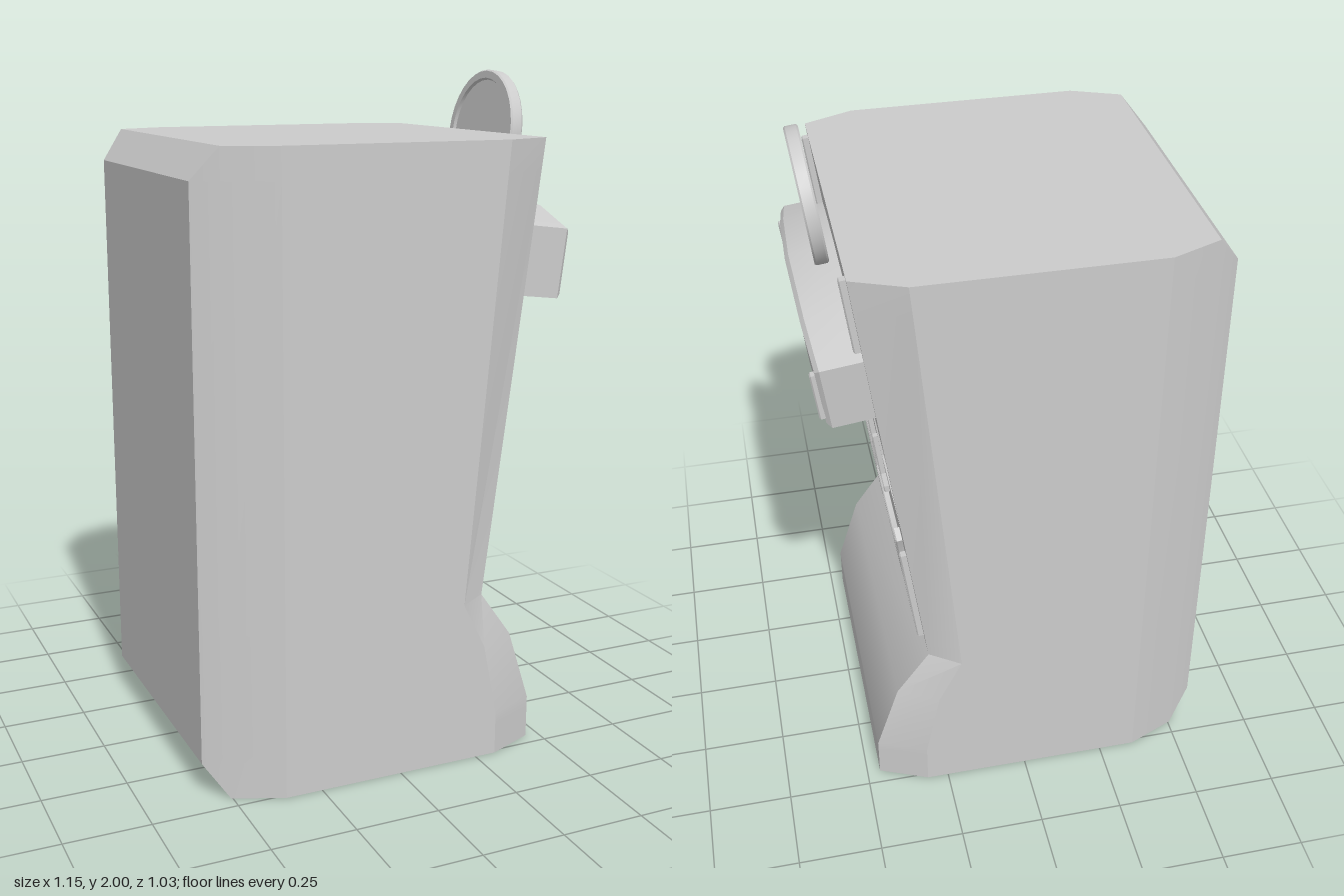
import * as THREE from 'three';
import { toCreasedNormals } from 'three/addons/utils/BufferGeometryUtils.js';

const BASE = 0.49, TOP = 1.82;            // height range of the tilted face
const TILT = Math.atan(0.17 / (TOP - BASE));
const SOCKET = 0.08;                      // depth of the eye sockets

export function createModel() {
  const model = new THREE.Group();
  const grey = new THREE.MeshStandardMaterial({ color: 0xcccccc, side: THREE.DoubleSide });

  const add = (parent, name, geometry, crease = 0.35) => {
    const mesh = new THREE.Mesh(toCreasedNormals(geometry, crease), grey);
    mesh.name = name;
    parent.add(mesh);
    return mesh;
  };

  // Surface from corner positions and triangle indices
  const surface = (corners, index) => {
    const g = new THREE.BufferGeometry();
    g.setAttribute('position', new THREE.Float32BufferAttribute(corners.flat(), 3));
    g.setIndex(index);
    return g;
  };

  // Cabinet: cross-sections [y, front x, side x, back x, back half width], open below
  const rows = [
    [0, 0.46, 0.315, -0.505, 0.455],
    [0.1, 0.46, 0.315, -0.575, 0.41],
    [0.13, 0.46, 0.315, -0.575, 0.41],
    [0.35, 0.39, 0.27, -0.575, 0.41],
    [BASE, 0.29, 0.2, -0.575, 0.41],
    [1.73, 0.4485, 0.307, -0.575, 0.41],
    [TOP, 0.46, 0.315, -0.505, 0.455],
  ];
  const corners = [], index = [], N = 10;
  rows.forEach(([y, f, s, b, w]) => {
    const half = [[f, 0.455], [s, 0.515], [-0.36, 0.515], [-0.505, 0.455], [b, w]];
    half.forEach(([x, z]) => corners.push([x, y, -z]));
    [...half].reverse().forEach(([x, z]) => corners.push([x, y, z]));
  });
  for (let r = 0; r < rows.length - 1; r++) {
    for (let i = 0; i < N; i++) {
      if (i === N - 1 && rows[r][0] >= BASE) continue; // gap filled by the face panel
      const a = r * N + i, b = r * N + (i + 1) % N;
      index.push(a, b, b + N, a, b + N, a + N);
    }
  }
  const last = (rows.length - 1) * N;
  for (let i = 1; i < N - 1; i++) index.push(last, last + i, last + i + 1);
  add(model, 'cabinet', surface(corners, index));

  // Face frame: local x runs to -z, local y up the slope, local z outwards
  const face = new THREE.Group();
  face.name = 'face';
  face.position.set(0.29, BASE, 0);
  face.rotation.set(TILT, Math.PI / 2, 0, 'YXZ');
  model.add(face);

  // Point on the face from world z and y
  const at = (z, y) => new THREE.Vector2(-z, (y - BASE) / Math.cos(TILT));
  const outline = (pts) => pts.map(([z, y]) => at(z, y));

  // Raised relief with a small bevel
  const relief = (name, pts, depth, z0 = 0, bevel = 0.004) => {
    const g = new THREE.ExtrudeGeometry(new THREE.Shape(outline(pts)), {
      depth: depth - bevel, bevelEnabled: true, bevelThickness: bevel,
      bevelSize: bevel, bevelOffset: -bevel, bevelSegments: 1,
    });
    return add(face, name, g.translate(0, 0, z0));
  };

  // Face panel with two eye openings
  const eyes = [
    { name: 'leftEye', z: 0.2, pts: [[0.42, 1.21], [0.075, 1.285], [0.075, 0.965], [0.42, 0.965]] },
    { name: 'rightEye', z: -0.185, pts: [[-0.07, 1.325], [-0.415, 1.205], [-0.415, 0.965], [-0.07, 0.965]] },
  ];
  const panel = new THREE.Shape(outline([[0.455, BASE], [-0.455, BASE], [-0.455, TOP], [0.455, TOP]]));
  eyes.forEach((e) => panel.holes.push(new THREE.Path(outline(e.pts))));
  add(face, 'facePanel', new THREE.ShapeGeometry(panel));

  // Eye sockets and pupils
  eyes.forEach(({ name, z, pts }) => {
    const p = outline(pts), c = [], idx = [];
    p.forEach((v) => c.push([v.x, v.y, 0], [v.x, v.y, -SOCKET]));
    p.forEach((_, i) => {
      const a = 2 * i, b = (2 * i + 2) % 8;
      idx.push(a, a + 1, b + 1, a, b + 1, b);
    });
    idx.push(1, 5, 3, 1, 7, 5);
    add(face, name + 'Socket', surface(c, idx));
    const pupil = new THREE.CylinderGeometry(0.08, 0.08, 0.05, 24).rotateX(Math.PI / 2);
    const m = at(z, 1.105);
    add(face, name + 'Pupil', pupil.translate(m.x, m.y, -SOCKET + 0.025));
  });

  // Arched headband, its outer surface falling back slightly at the ends
  const band = relief('headband', [
    [0.45, 1.375], [0.25, 1.425], [0.01, 1.465], [-0.2, 1.43], [-0.42, 1.37],
    [-0.43, 1.56], [-0.26, 1.62], [0.01, 1.66], [0.28, 1.625], [0.45, 1.575],
  ], 0.142, 0, 0.012);
  const pos = band.geometry.attributes.position;
  for (let i = 0; i < pos.count; i++) {
    if (pos.getZ(i) > 0.1) pos.setZ(i, pos.getZ(i) - 0.07 * pos.getX(i) ** 2);
  }

  // Thin vertical bars: z, bottom, top, starting depth
  const bars = [
    ['browBar', 0.39, 1.59, 1.81, 0], ['browBar', -0.405, 1.58, 1.8, 0],
    ['headbandBar', 0.4, 1.41, 1.55, 0.125], ['headbandBar', -0.402, 1.4, 1.54, 0.125],
    ['cheekBar', 0.405, 0.52, 0.85, 0], ['cheekBar', -0.39, 0.52, 0.85, 0],
  ];
  bars.forEach(([name, z, y0, y1, d]) =>
    relief(name, [[z + 0.011, y0], [z - 0.011, y0], [z - 0.011, y1], [z + 0.011, y1]], 0.02, d));

  // L-shaped nose lines and curved cheek creases, mirrored
  const nose = [[0.116, 0.868], [0.037, 0.868], [0.037, 1.035], [0.053, 1.035], [0.053, 0.89], [0.116, 0.89]];
  const crease = [
    [0.333, 0.836], [0.296, 0.857], [0.254, 0.746], [0.254, 0.614],
    [0.291, 0.513], [0.328, 0.529], [0.296, 0.624], [0.296, 0.735],
  ];
  const mirror = (pts, sum) => pts.map(([z, y]) => [sum - z, y]);
  relief('noseLine', nose, 0.018);
  relief('noseLine', mirror(nose, -0.008), 0.018);
  relief('cheekCrease', crease, 0.02);
  relief('cheekCrease', mirror(crease, 0.016), 0.02);

  // Smiling mouth
  const smile = (y) => Array.from({ length: 9 }, (_, i) => {
    const t = i / 4 - 1;
    return [0.01 - 0.246 * t, y + 0.047 * t * t];
  });
  relief('mouth', [...smile(0.565), ...smile(0.628).reverse()], 0.02);

  // Round medallion with a raised rim on both sides
  const profile = [
    [0, -0.012], [0.16, -0.012], [0.165, -0.02], [0.186, -0.02], [0.19, -0.015],
    [0.19, 0.015], [0.186, 0.02], [0.165, 0.02], [0.16, 0.012], [0, 0.012],
  ].map(([x, y]) => new THREE.Vector2(x, y));
  const disc = new THREE.LatheGeometry(profile, 32).rotateX(Math.PI / 2);
  const c = at(0.03, 1.815);
  add(face, 'medallion', disc.translate(c.x, c.y, 0.045));

  return model;
}
